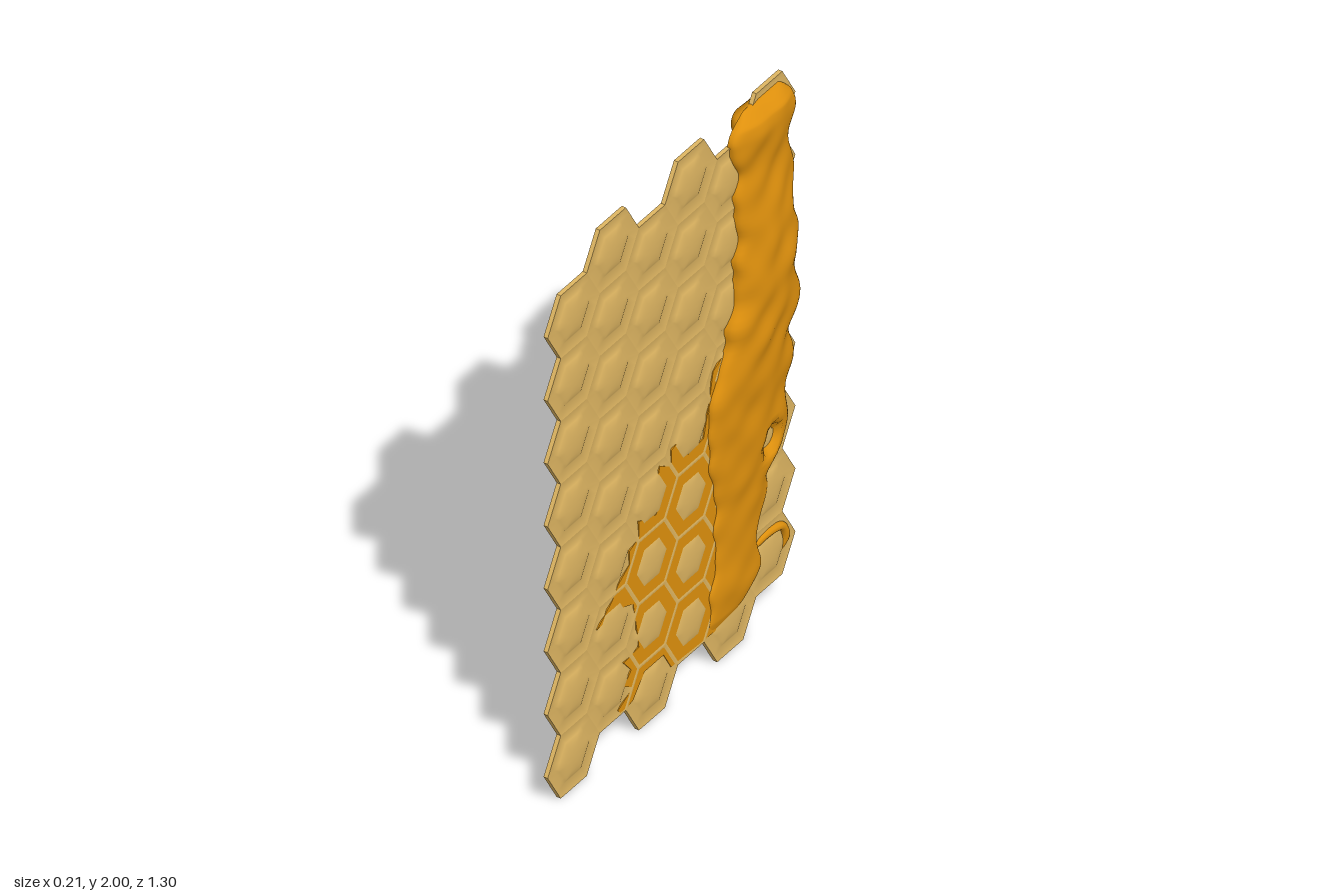
import * as THREE from 'three';
import { mergeVertices, mergeGeometries, toCreasedNormals } from 'three/addons/utils/BufferGeometryUtils.js';

const MID = 0.0265;      // x of the comb's middle plane
const PITCH = 2 / 8.5;   // cell height
const STEP = 0.2055;     // distance between cell columns

// Surface from a rule: point(u, v) with u, v in 0..1
function gridSurface(nu, nv, point) {
  const pos = [], index = [];
  for (let i = 0; i <= nu; i++)
    for (let j = 0; j <= nv; j++) pos.push(...point(i / nu, j / nv));
  for (let i = 0; i < nu; i++)
    for (let j = 0; j < nv; j++) {
      const a = i * (nv + 1) + j, b = a + nv + 1;
      index.push(a, b, a + 1, b, b + 1, a + 1);
    }
  const g = new THREE.BufferGeometry();
  g.setAttribute('position', new THREE.Float32BufferAttribute(pos, 3));
  g.setIndex(index);
  const merged = mergeVertices(g, 1e-5);
  merged.computeVertexNormals();
  return merged;
}

// Cell: domed centre, groove around it, raised hexagonal rim; same on both faces
function cellGeometry() {
  const half = [[0, 0.0125], [0.2, 0.012], [0.38, 0.0105], [0.52, 0.008], [0.6, 0.0055], [0.68, 0.0015], [1, 0.0075]];
  const profile = [...half, ...half.slice().reverse().map(([r, h]) => [r, -h])];
  const n = profile.length - 1;
  const g = gridSurface(n, 24, (u, v) => {
    const [r, h] = profile[Math.round(u * n)];
    const k = Math.round(v * 24) % 24, side = Math.floor(k / 4), f = (k % 4) / 4;
    const a0 = side * Math.PI / 3, a1 = a0 + Math.PI / 3;
    // corners point along z, flats along y
    const z = Math.cos(a0) * (1 - f) + Math.cos(a1) * f;
    const y = -(Math.sin(a0) * (1 - f) + Math.sin(a1) * f);
    const round = r < 0.4 ? 0.93 / Math.hypot(y, z) : 1;
    return [MID + h, y * r * round * PITCH / Math.sqrt(3), z * r * round * STEP / 1.5];
  });
  return toCreasedNormals(g, 0.6);
}

// Smooth lookup in rows sorted by falling y
function sample(rows, y) {
  let i = 0;
  while (i < rows.length - 2 && y < rows[i + 1][0]) i++;
  const a = rows[i], b = rows[i + 1];
  let t = THREE.MathUtils.clamp((a[0] - y) / (a[0] - b[0]), 0, 1);
  t = t * t * (3 - 2 * t);
  return a.map((p, k) => p + (b[k] - p) * t);
}

// Thick honey on one face; rows are [y, z min, z max, thickness]
function drapeGeometry(rows, side, skew, hole) {
  const top = rows[0][0], bottom = rows[rows.length - 1][0];
  return gridSurface(130, 56, (u, v) => {
    const y = top + (bottom - top) * (0.5 - 0.5 * Math.cos(Math.PI * u));
    const [, z0, z1, thick] = sample(rows, y);
    const cap = Math.pow(Math.max(0, Math.min(1, (top - y) / 0.04, (y - bottom) / 0.04)), 0.5);
    const a = 2 * Math.PI * (side > 0 ? v : 1 - v), c = Math.cos(a), s = Math.sin(a);
    // the outer edge follows the zigzag of the comb, the inner one wanders
    const wobble = c < 0 ? 0.016 * Math.cos(2 * Math.PI * y / PITCH) : 0.008 * Math.sin(y * 27 + side) + 0.005 * Math.sin(y * 53);
    const z = (z0 + z1) / 2 + (z1 - z0) / 2 * c * (0.75 + 0.25 * cap) + wobble * c;
    if (s <= 1e-6) return [MID, y, z];
    const lumps = 1 + 0.09 * Math.sin(y * 21 + 2 * Math.sin(z * 13)) * Math.cos(z * 25 + Math.sin(y * 11))
      + 0.06 * Math.sin(y * 37 + 1) * Math.sin(z * 33 + y * 5);
    let h = thick * cap * Math.pow(s, 0.65) * lumps * (1 - Math.abs(skew) + skew * c);
    if (hole) {
      const d = Math.hypot(z - hole[0], (y - hole[1]) * 0.85);
      h *= THREE.MathUtils.smoothstep(d, 0.025, 0.055);
    }
    return [MID + side * h, y, z];
  });
}

// Flat honey from an outline of [z, y] points, between two x positions
function plateGeometry(outline, x0, x1) {
  const shape = new THREE.Shape(outline.map(([z, y]) => new THREE.Vector2(-z, y)));
  const plate = new THREE.ExtrudeGeometry(shape, { depth: x1 - x0, bevelEnabled: false });
  return plate.rotateY(Math.PI / 2).translate(x0, 0, 0);
}

export function createModel() {
  const model = new THREE.Group();
  const wax = new THREE.MeshStandardMaterial({ color: 0xdfb662 });
  wax.name = 'wax';
  const honey = new THREE.MeshStandardMaterial({ color: 0xde900d, side: THREE.DoubleSide });
  honey.name = 'honey';
  const add = (name, geometry, material) => {
    const mesh = new THREE.Mesh(geometry, material);
    mesh.name = name;
    model.add(mesh);
  };

  // Comb: six columns of eight cells, every other column half a cell higher
  const cell = cellGeometry(), cells = [];
  for (let col = 0; col < 6; col++)
    for (let row = 0; row < 8; row++)
      cells.push(cell.clone().translate(0, (row + 0.5 + (col % 2) / 2) * PITCH, (2.5 - col) * STEP));
  add('comb', mergeGeometries(cells), wax);

  // Honey film filling the grooves on the front face
  add('frontFilm', plateGeometry([
    [-0.40, 1.15], [-0.30, 1.14], [-0.22, 1.10], [-0.20, 1.00], [-0.17, 0.88], [-0.09, 0.87],
    [-0.03, 0.95], [0.0, 0.94], [0.0, 0.88], [0.06, 0.92], [0.07, 0.88], [0.04, 0.80], [0.08, 0.75],
    [0.17, 0.78], [0.17, 0.72], [0.22, 0.70], [0.22, 0.65], [0.28, 0.61], [0.31, 0.57], [0.39, 0.51],
    [0.28, 0.52], [0.20, 0.49], [0.18, 0.38], [0.17, 0.31], [0.25, 0.30], [0.21, 0.25], [0.25, 0.21],
    [0.20, 0.18], [0.28, 0.14], [0.26, 0.115], [0.20, 0.13], [0.14, 0.20], [0.04, 0.20], [0.0, 0.13],
    [-0.05, 0.13], [-0.25, 0.12], [-0.40, 0.17], [-0.42, 0.6]], MID, 0.0329), honey);

  // Flat honey film on the back face, with a plainer outline
  add('backFilm', plateGeometry([
    [-0.40, 1.0], [-0.17, 0.95], [-0.03, 0.96], [0.06, 0.92], [0.17, 0.78], [0.22, 0.69], [0.23, 0.64],
    [0.31, 0.57], [0.38, 0.51], [0.28, 0.52], [0.20, 0.48], [0.18, 0.38], [0.17, 0.32], [0.25, 0.30],
    [0.22, 0.25], [0.25, 0.21], [0.23, 0.17], [0.27, 0.13], [0.20, 0.125], [0.03, 0.14], [-0.05, 0.13],
    [-0.25, 0.13], [-0.40, 0.2]], 0.0035, MID), honey);

  // Honey on the +x face
  add('frontHoney', drapeGeometry([
    [1.97, -0.605, -0.35, 0.050], [1.88, -0.61, -0.31, 0.062], [1.74, -0.61, -0.335, 0.050],
    [1.40, -0.615, -0.33, 0.078], [1.18, -0.625, -0.29, 0.076], [1.00, -0.61, -0.21, 0.058],
    [0.85, -0.60, -0.19, 0.050], [0.64, -0.58, -0.22, 0.043], [0.54, -0.50, -0.23, 0.034],
    [0.42, -0.46, -0.23, 0.029], [0.25, -0.45, -0.21, 0.034], [0.12, -0.37, -0.19, 0.018]],
  1, -0.08, [-0.49, 0.69]), honey);

  // Honey on the -x face
  add('backHoney', drapeGeometry([
    [1.97, -0.61, -0.40, 0.055], [1.88, -0.615, -0.37, 0.072], [1.72, -0.61, -0.38, 0.050],
    [1.50, -0.615, -0.34, 0.074], [1.34, -0.615, -0.26, 0.118], [1.12, -0.62, -0.16, 0.162],
    [0.90, -0.61, -0.15, 0.140], [0.60, -0.60, -0.18, 0.114], [0.38, -0.60, -0.16, 0.126],
    [0.18, -0.58, -0.14, 0.152], [0.10, -0.46, -0.22, 0.070]],
  -1, 0.27), honey);

  // Drip curling round the edge cell at the bottom, its ends sunk in the comb
  const drip = new THREE.CatmullRomCurve3([
    [0.020, 0.30, -0.43], [0.030, 0.315, -0.52], [0.034, 0.30, -0.58], [0.032, 0.25, -0.60], [0.012, 0.20, -0.585]
  ].map((p) => new THREE.Vector3(...p)));
  add('edgeDrip', new THREE.TubeGeometry(drip, 24, 0.014, 10), honey);

  return model;
}
